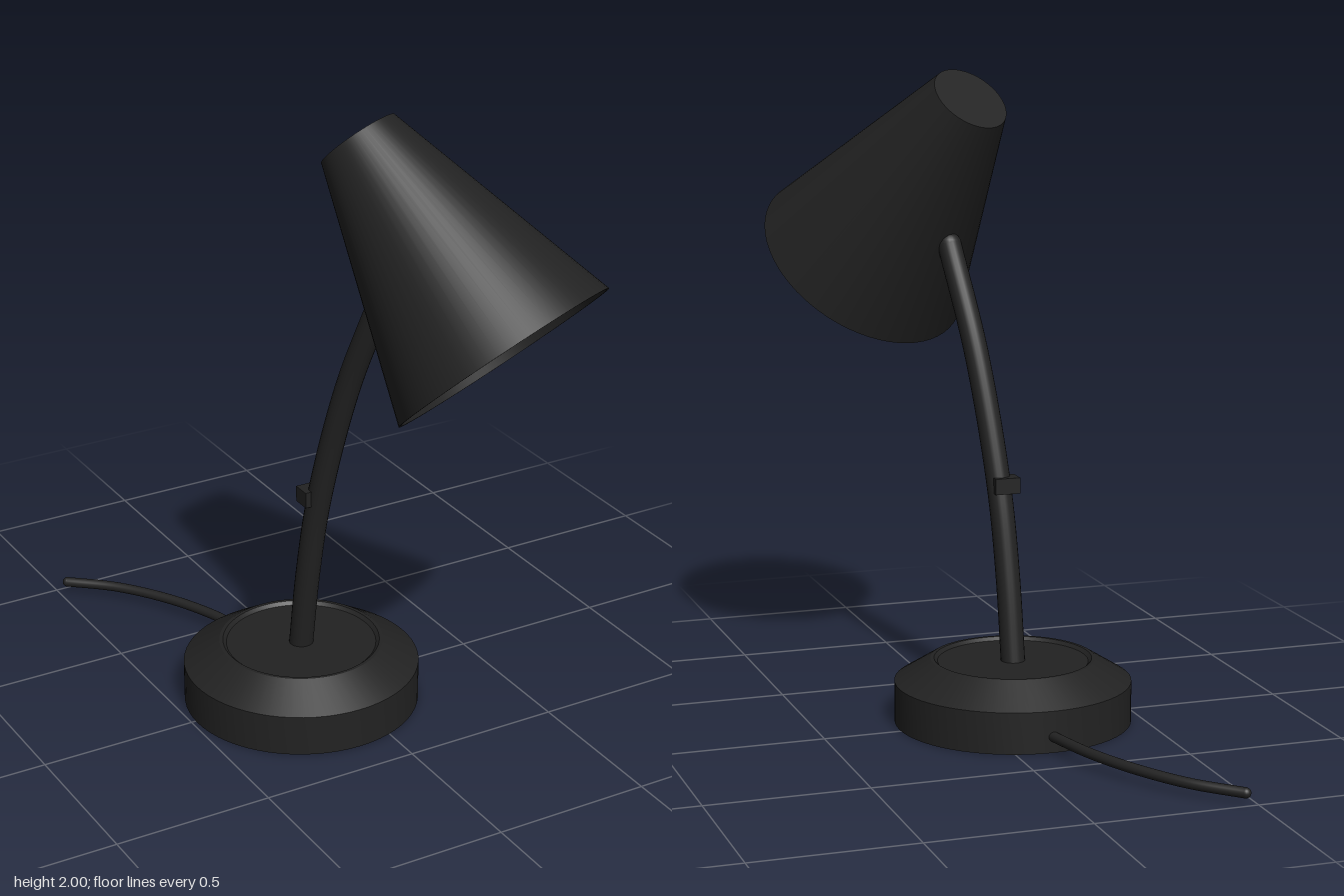
import * as THREE from 'three';
import { toCreasedNormals } from 'three/addons/utils/BufferGeometryUtils.js';

const v = (x, y, z) => new THREE.Vector3(x, y, z);

export function createModel() {
  const lamp = new THREE.Group();
  lamp.name = 'deskLamp';

  const black = new THREE.MeshStandardMaterial({ color: 0x222222 });
  black.name = 'black';
  const cream = new THREE.MeshStandardMaterial({ color: 0xdcd5c2 });
  cream.name = 'cream';

  const add = (name, geometry, material, parent = lamp) => {
    const mesh = new THREE.Mesh(geometry, material);
    mesh.name = name;
    parent.add(mesh);
    return mesh;
  };
  // Turned part with crisp profile corners
  const turned = (profile) => toCreasedNormals(
    new THREE.LatheGeometry(profile.map(([r, y]) => new THREE.Vector2(r, y)), 64), 0.4);
  // Round tube through points, with a ball closing each end
  const rod = (name, points, radius) => {
    const group = new THREE.Group();
    group.name = name;
    const curve = new THREE.CatmullRomCurve3(points);
    add(name + 'Tube', new THREE.TubeGeometry(curve, 40, radius, 20), black, group);
    for (const end of [points[0], points[points.length - 1]])
      add(name + 'End', new THREE.SphereGeometry(radius, 20, 12), black, group).position.copy(end);
    lamp.add(group);
  };

  // Weighted base with a bevel and a shallow dished top
  add('base', turned([[0, 0], [0.37, 0], [0.37, 0.13], [0.257, 0.2], [0.246, 0.2],
    [0.235, 0.19], [0, 0.19]]), black).position.set(-0.115, 0, 0.013);

  // Curved stem
  rod('stem', [v(-0.116, 0.17, 0.012), v(-0.112, 0.45, 0.053), v(-0.1, 0.73, 0.105),
    v(-0.063, 1.13, 0.212), v(-0.015, 1.46, 0.335)], 0.038);

  // Small switch block on the back of the stem
  add('switchBlock', new THREE.BoxGeometry(0.08, 0.05, 0.06), black).position.set(-0.114, 0.735, 0.087);

  // Power cord trailing from the back of the base
  rod('cord', [v(-0.11, 0.05, -0.33), v(-0.165, 0.046, -0.53), v(-0.24, 0.042, -0.7),
    v(-0.345, 0.037, -0.86), v(-0.468, 0.033, -0.98)], 0.016);

  // Lamp head: local origin at the mouth, local y runs to the narrow end
  const head = new THREE.Group();
  head.name = 'head';
  const mouth = v(0.15, 1.37, 0.72);
  const narrowEnd = v(-0.06, 1.92, 0.26);
  const axis = narrowEnd.clone().sub(mouth);
  const length = axis.length();
  head.position.copy(mouth);
  head.quaternion.setFromUnitVectors(v(0, 1, 0), axis.normalize());
  add('shade', turned([[0, 0.12], [0.31, 0.12], [0.347, 0], [0.355, 0],
    [0.125, length], [0, length]]), black, head);
  add('diffuser', new THREE.CylinderGeometry(0.285, 0.285, 0.08, 64), cream, head).position.y = 0.08;
  lamp.add(head);

  return lamp;
}
